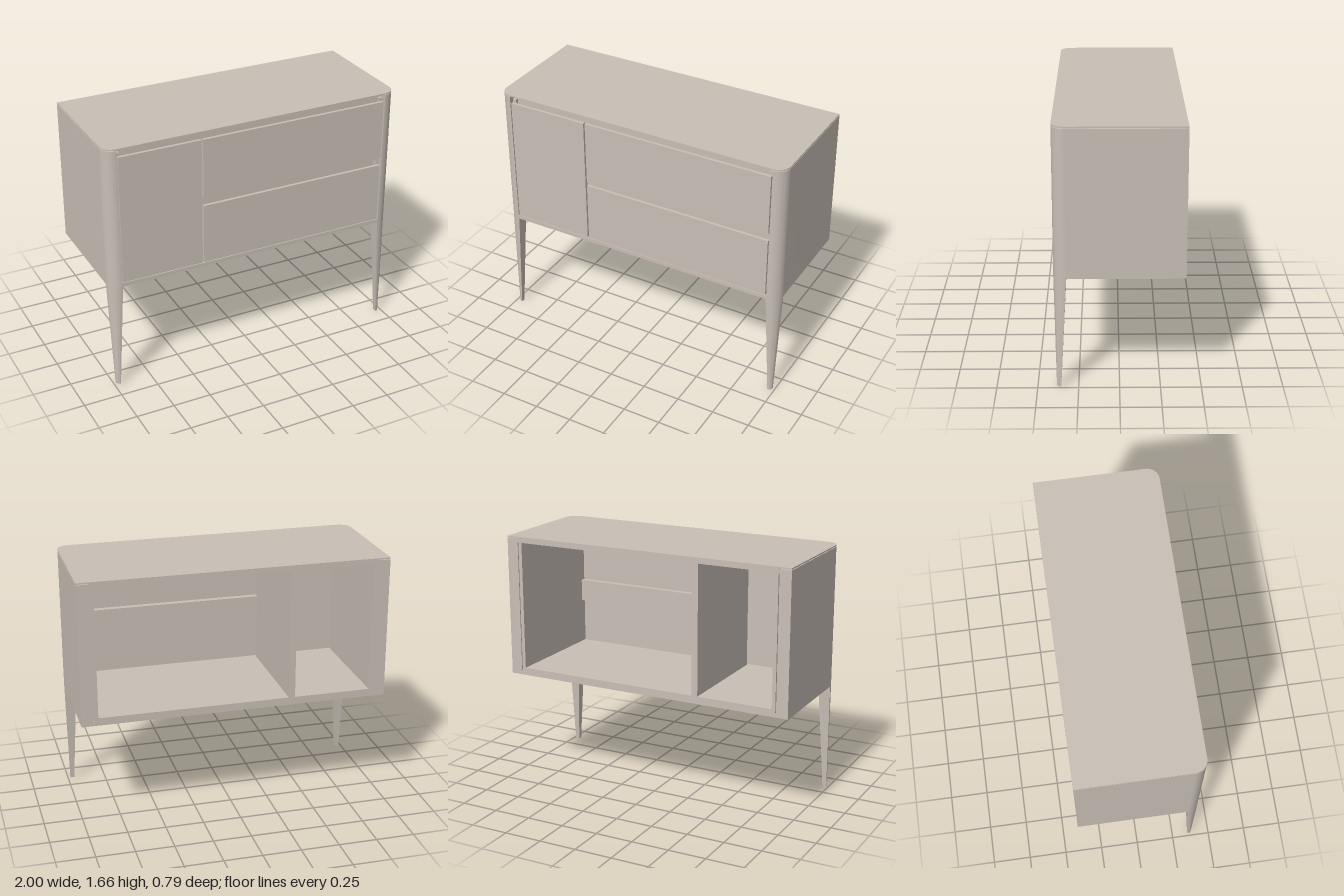
import * as THREE from 'three';
import { toCreasedNormals } from 'three/addons/utils/BufferGeometryUtils.js';

const FRONT = 0.397, BACK = -0.397, RADIUS = 0.08;
const BASE = 0.72, BODY_TOP = 1.645, TOP = 1.658;

export function createModel() {
  const model = new THREE.Group();
  model.name = 'sideboard';
  const greige = new THREE.MeshStandardMaterial({ color: 0xc8bfb6 });
  greige.name = 'greige lacquer';

  const add = (name, geometry) => {
    const mesh = new THREE.Mesh(geometry, greige);
    mesh.name = name;
    model.add(mesh);
    return mesh;
  };

  // Box given by its limits on each axis
  const box = (name, x0, x1, y0, y1, z0, z1) => {
    const mesh = add(name, new THREE.BoxGeometry(x1 - x0, y1 - y0, z1 - z0));
    mesh.position.set((x0 + x1) / 2, (y0 + y1) / 2, (z0 + z1) / 2);
    return mesh;
  };

  // Plan outline (x, -z) raised from y0 to y1
  const slab = (name, shape, y0, y1) => {
    const g = new THREE.ExtrudeGeometry(shape, { depth: y1 - y0, bevelEnabled: false, curveSegments: 12 });
    g.rotateX(-Math.PI / 2);
    g.translate(0, y0, 0);
    return add(name, toCreasedNormals(g, 0.5));
  };

  // Top board with two rounded front corners
  const top = new THREE.Shape();
  top.moveTo(-1, -BACK);
  top.lineTo(-1, -FRONT + RADIUS);
  top.absarc(-1 + RADIUS, -FRONT + RADIUS, RADIUS, Math.PI, Math.PI * 1.5, false);
  top.absarc(1 - RADIUS, -FRONT + RADIUS, RADIUS, -Math.PI / 2, 0, false);
  top.lineTo(1, -BACK);
  top.closePath();
  slab('topBoard', top, BODY_TOP + 0.004, TOP);

  for (const s of [-1, 1]) {
    const side = s > 0 ? 'left' : 'right';

    // Thick side with a rounded front edge
    const plan = new THREE.Shape();
    const cx = s * (1 - RADIUS);
    plan.moveTo(s * 0.922, -BACK);
    plan.lineTo(s * 0.922, -FRONT);
    plan.lineTo(cx, -FRONT);
    plan.absarc(cx, -FRONT + RADIUS, RADIUS, -Math.PI / 2, s > 0 ? 0 : -Math.PI, s < 0);
    plan.lineTo(s, -BACK);
    plan.closePath();
    slab(side + 'SidePanel', plan, BASE, BODY_TOP);

    // Inner lining of the compartment
    const a = s * 0.893, b = s * 0.917;
    box(side + 'Lining', Math.min(a, b), Math.max(a, b), 0.745, 1.62, BACK, 0.37);

    add(side + 'Leg', legGeometry(s));
  }

  // Base frame, open underneath, with the floor set above it
  const frame = new THREE.Shape();
  const rect = (path, x, z0, z1) => {
    path.moveTo(-x, -z0);
    path.lineTo(-x, -z1);
    path.lineTo(x, -z1);
    path.lineTo(x, -z0);
    path.closePath();
    return path;
  };
  rect(frame, 0.922, BACK, FRONT - 0.002);
  frame.holes.push(rect(new THREE.Path(), 0.88, -0.28, 0.34));
  slab('baseFrame', frame, BASE, 0.746);
  box('floor', -0.917, 0.917, 0.746, 0.77, BACK, 0.37);

  // Carcass top and divider
  box('carcassTop', -0.922, 0.922, 1.62, BODY_TOP + 0.004, BACK, 0.35);
  box('divider', -0.388, -0.347, 0.77, 1.62, BACK, 0.35);

  // Door and drawer fronts
  const z0 = 0.375, z1 = FRONT - 0.002;
  box('door', -0.915, -0.374, 0.75, 1.6, z0, z1);
  box('upperDrawerFront', -0.364, 0.912, 1.2, 1.6, z0, z1);
  box('lowerDrawerFront', -0.364, 0.912, 0.75, 1.15, z0, z1);

  // Recessed finger channels: back plate with a lip reaching the front below
  const channel = (name, x0, x1, y0, y1) => {
    box(name + 'Back', x0, x1, y0, y1, 0.335, 0.35);
    box(name + 'Lip', x0, x1, y0, y0 + 0.015, 0.35, z0);
  };
  channel('doorChannel', -0.893, -0.388, 1.52, 1.62);
  channel('upperDrawerChannel', -0.347, 0.893, 1.52, 1.62);
  channel('lowerDrawerChannel', -0.347, 0.893, 1.07, 1.215);
  box('lowerDrawerChannelCap', -0.347, 0.893, 1.2, 1.215, 0.35, z0);

  return model;
}

// Tapered front leg: square section with its outer front corner rounded
function legGeometry(s) {
  const section = (x0, x1, za, zb, r, y) => {
    const pts = [[x0, za], [x0, zb]];
    for (let i = 0; i <= 8; i++) {
      const t = (i / 8) * Math.PI / 2;
      pts.push([x1 - r + r * Math.sin(t), zb - r + r * Math.cos(t)]);
    }
    pts.push([x1, za]);
    return pts.map(([x, z]) => new THREE.Vector3(s * x, y, z));
  };
  const low = section(0.957, 0.984, 0.357, 0.384, 0.024, 0);
  const high = section(0.918, 1, 0.317, FRONT, 0.079, BASE);
  const n = low.length, pos = [];
  const tri = (a, b, c) => {
    for (const p of s > 0 ? [a, b, c] : [a, c, b]) pos.push(p.x, p.y, p.z);
  };
  for (let i = 0; i < n; i++) {
    const j = (i + 1) % n;
    tri(low[i], low[j], high[j]);
    tri(low[i], high[j], high[i]);
    if (i > 0 && j > 0) {
      tri(low[0], low[j], low[i]);
      tri(high[0], high[i], high[j]);
    }
  }
  const g = new THREE.BufferGeometry();
  g.setAttribute('position', new THREE.Float32BufferAttribute(pos, 3));
  g.computeVertexNormals();
  return toCreasedNormals(g, 0.5);
}
